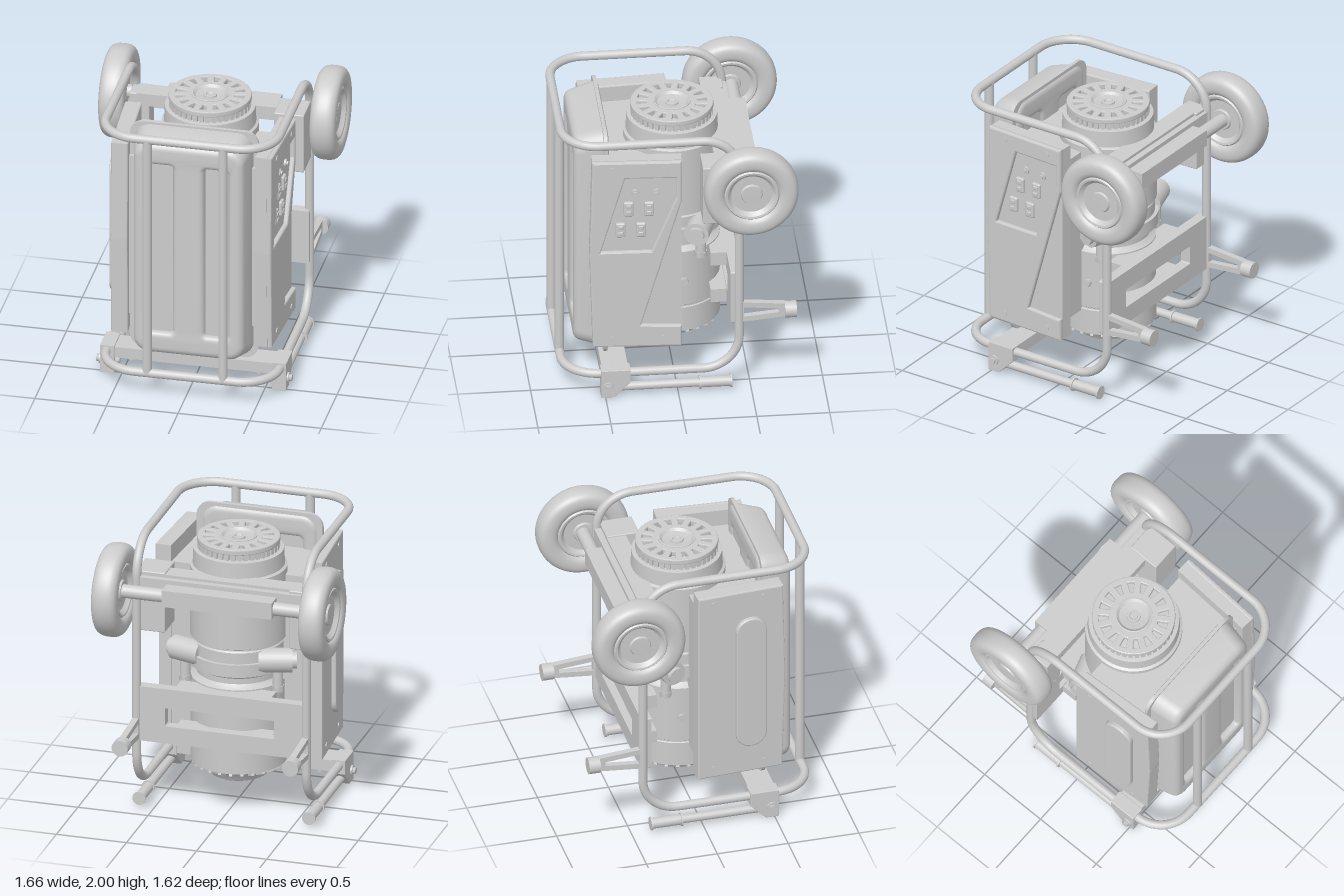
import * as THREE from 'three';
import { toCreasedNormals } from 'three/addons/utils/BufferGeometryUtils.js';
import { RoundedBoxGeometry } from 'three/addons/geometries/RoundedBoxGeometry.js';

const V = (x, y, z) => new THREE.Vector3(x, y, z);

export function createModel() {
  const root = new THREE.Group();
  const mat = new THREE.MeshStandardMaterial({ color: 0xcccccc, side: THREE.DoubleSide });
  let target = root; // group that receives new parts

  const add = (name, geo) => {
    const m = new THREE.Mesh(geo, mat);
    m.name = name;
    target.add(m);
    return m;
  };
  // box from its minimum and maximum corners
  const box = (name, x0, x1, y0, y1, z0, z1, r = 0) => {
    const s = [x1 - x0, y1 - y0, z1 - z0];
    const g = r ? new RoundedBoxGeometry(...s, 3, r) : new THREE.BoxGeometry(...s);
    return add(name, g.translate((x0 + x1) / 2, (y0 + y1) / 2, (z0 + z1) / 2));
  };
  // round bar between two points
  const rod = (name, a, b, r, sides = 28) => {
    const d = b.clone().sub(a);
    const m = add(name, new THREE.CylinderGeometry(r, r, d.length(), sides));
    m.position.copy(a).addScaledVector(d, 0.5);
    m.quaternion.setFromUnitVectors(V(0, 1, 0), d.normalize());
    return m;
  };
  const lathe = (name, pts, seg = 64) => add(name, toCreasedNormals(
    new THREE.LatheGeometry(pts.map(p => new THREE.Vector2(...p)), seg), 0.6));
  const roundRect = (T, x0, x1, y0, y1, r) => {
    const s = new T();
    s.absarc(x1 - r, y1 - r, r, 0, Math.PI / 2);
    s.absarc(x0 + r, y1 - r, r, Math.PI / 2, Math.PI);
    s.absarc(x0 + r, y0 + r, r, Math.PI, Math.PI * 1.5);
    s.absarc(x1 - r, y0 + r, r, Math.PI * 1.5, Math.PI * 2);
    s.closePath();
    return s;
  };
  // outline given as [z, y], extruded along x
  const side = (name, pts, x0, depth, holes = [], bevel = 0) => {
    const flip = a => a.map(([z, y]) => new THREE.Vector2(-z, y));
    const s = new THREE.Shape(flip(pts));
    s.holes = holes.map(h => new THREE.Path(flip(h)));
    const g = new THREE.ExtrudeGeometry(s, { depth: depth - 2 * bevel, bevelEnabled: bevel > 0,
      bevelSize: bevel, bevelOffset: -bevel, bevelThickness: bevel, bevelSegments: 2 });
    return add(name, g.rotateY(Math.PI / 2).translate(x0 + bevel, 0, 0));
  };

  // Tube frame: one closed loop with rounded corners
  const corners = [V(-.605, 1.97, .78), V(.605, 1.97, .78), V(.605, 1.97, -.42), V(.605, .17, -.42),
    V(.605, .17, .78), V(-.605, .17, .78), V(-.605, .17, -.42), V(-.605, 1.97, -.42)];
  const path = new THREE.CurvePath();
  const R = .25, K = .448 * R;
  let last = null, first = null;
  corners.forEach((c, i) => {
    const p = corners[(i + 7) % 8].clone().sub(c).normalize();
    const n = corners[(i + 1) % 8].clone().sub(c).normalize();
    const at = (d, l) => c.clone().addScaledVector(d, l);
    const start = at(p, R), end = at(n, R);
    if (last) path.add(new THREE.LineCurve3(last, start));
    else first = start;
    path.add(new THREE.CubicBezierCurve3(start, at(p, K), at(n, K), end));
    last = end;
  });
  path.add(new THREE.LineCurve3(last, first));
  add('tubeFrame', new THREE.TubeGeometry(path, 420, .031, 16, true));
  for (const x of [-.265, .265]) rod('frontBar', V(x, .17, .78), V(x, 1.97, .78), .032);

  // Fuel tank: tapered shell with two recessed channels, and its seam flange
  const tank = roundRect(THREE.Shape, -.4, .4, .24, 1.92, .1);
  for (const s of [-1, 1]) {
    const a = s * .105, b = s * .315;
    tank.holes.push(roundRect(THREE.Path, Math.min(a, b), Math.max(a, b), .385, 1.78, .04));
  }
  const tankGeo = new THREE.ExtrudeGeometry(tank, { depth: .16, bevelThickness: .04, bevelSize: .045,
    bevelOffset: -.03, bevelSegments: 5, curveSegments: 8 });
  const tp = tankGeo.attributes.position;
  for (let i = 0; i < tp.count; i++) {
    const t = Math.max(0, tp.getZ(i)) / .2;
    tp.setXY(i, tp.getX(i) * (1 - .09 * t), 1.08 + (tp.getY(i) - 1.08) * (1 - .065 * t));
  }
  add('fuelTank', toCreasedNormals(tankGeo.translate(0, 0, .49), .6));
  box('tankChannelFloor', -.34, .34, .36, 1.8, .5, .64);
  add('tankFlange', new THREE.ExtrudeGeometry(roundRect(THREE.Shape, -.45, .45, .21, 1.95, .1),
    { depth: .025, bevelEnabled: false }).translate(0, 0, .465));

  // Inner housing
  box('innerHousing', -.48, .48, .475, 1.69, -.02, .52);

  // Side covers, each toed in towards the front
  const cover = [[.585, 1.81], [.602, 1.08], [.58, .35], [-.025, .35], [-.025, 1.81]];
  for (const s of [-1, 1]) {
    target = new THREE.Group();
    target.name = s > 0 ? 'leftCoverAssembly' : 'rightCoverAssembly';
    target.rotation.y = -s * .06;
    target.position.z = -.036;
    root.add(target);
    for (const z of [.45, .09]) for (const y of [.42, 1.75])
      rod('coverScrew', V(s * .58, y, z), V(s * .602, y, z), .021, 20);
    if (s < 0) {
      side('rightCover', cover, -.597, .117, [], .01);
      const pad = new THREE.ExtrudeGeometry(roundRect(THREE.Shape, -.46, -.24, .57, 1.6, .105),
        { depth: .02, bevelSize: .012, bevelThickness: .012, bevelOffset: -.012 });
      add('rightCoverPad', pad.rotateY(Math.PI / 2).translate(-.618, 0, 0));
      continue;
    }
    side('leftCover', cover, .48, .085);
    side('leftCoverSkin', [[.585, 1.81], [.602, 1.08], [.58, .35], [-.025, .35], [-.025, .51], [.25, .52],
      [-.025, 1.49], [-.025, 1.81]], .559, .038, [[[.36, 1.68], [.01, 1.68], [.01, 1.53], [.18, 1.105], [.525, 1.1]]], .012);
    // Control panel: sockets and buttons
    for (const [z, y] of [[.335, 1.43], [.195, 1.43], [.39, 1.265], [.25, 1.265]]) {
      box('socket', .55, .585, y - .055, y + .055, z - .034, z + .034, .012);
      for (const d of [-.024, .024]) box('socketInsert', .57, .592, y + d - .014, y + d + .014, z - .018, z + .018, .006);
    }
    for (const z of [.29, .145]) {
      rod('buttonCollar', V(.55, 1.555, z), V(.58, 1.555, z), .028);
      rod('button', V(.57, 1.555, z), V(.592, 1.555, z), .015);
    }
  }
  target = root;

  // Engine and alternator, a turned body on an upright axis
  const CZ = -.018;
  lathe('engineBody', [[0, .225], [.06, .225], [.07, .2], [.18, .2], [.2, .21], [.225, .255], [.25, .28], [.31, .305],
    [.33, .31], [.33, .49], [.322, .495], [.322, .505], [.328, .51], [.328, .93], [.31, .94], [.29, .96], [.29, 1], [.32, 1.04],
    [.32, 1.2], [.312, 1.21], [.312, 1.22], [.333, 1.23], [.333, 1.735], [.315, 1.745], [.31, 1.86], [.28, 1.865],
    [0, 1.865]]).position.z = CZ;
  lathe('engineCollar', [[.3, 1.03], [.345, 1.03], [.345, 1.12], [.3, 1.12]]).position.z = CZ;
  for (let i = 0; i < 26; i++) {
    const fin = add('coolingFin', new THREE.BoxGeometry(.09, .022, .022));
    const a = i / 26 * Math.PI * 2;
    fin.rotation.set(0, -a, .4, 'YXZ');
    fin.position.set(Math.cos(a) * .28, .285, CZ + Math.sin(a) * .28);
  }

  // Starter cap: slotted disc, ribbed wall and dished boss
  const disc = new THREE.Shape().absarc(0, 0, .278, 0, Math.PI * 2);
  disc.holes.push(new THREE.Path().absarc(0, 0, .12, 0, Math.PI * 2));
  for (let i = 0; i < 16; i++) {
    const a = i / 16 * Math.PI * 2;
    const h = [[.165, -.015], [.245, -.03], [.245, .03], [.165, .015]].map(([r, t]) =>
      new THREE.Vector2(r * Math.cos(a) - t * Math.sin(a), r * Math.sin(a) + t * Math.cos(a)));
    disc.holes.push(new THREE.Path(h));
  }
  const discGeo = new THREE.ExtrudeGeometry(disc, { depth: .025, bevelSize: .006, bevelThickness: .008,
    bevelSegments: 2, curveSegments: 64 });
  add('starterCap', discGeo.rotateX(-Math.PI / 2).translate(0, 1.912, CZ));
  lathe('starterWall', [[.268, 1.85], [.268, 1.915]]).position.z = CZ;
  lathe('starterBoss', [[.13, 1.93], [.128, 1.95], [.118, 1.952], [.1, 1.935], [.047, 1.928], [.045, 1.94],
    [.03, 1.94], [.025, 1.93], [0, 1.93]]).position.z = CZ;
  for (let i = 0; i < 40; i++) {
    const a = i / 40 * Math.PI * 2;
    const rib = add('starterRib', new THREE.BoxGeometry(.025, .06, .028));
    rib.rotation.y = -a;
    rib.position.set(Math.cos(a) * .27, 1.89, CZ + Math.sin(a) * .27);
  }

  // Ports, drain pipes and side plugs on both flanks of the engine
  for (const s of [-1, 1]) {
    rod('enginePort', V(s * .2, 1.12, -.215), V(s * .42, 1.12, -.145), .085);
    rod('portCap', V(s * .4, 1.12, -.15), V(s * .45, 1.12, -.135), .058);
    rod('drainPipe', V(s * .33, .93, -.185), V(s * .33, 1.1, -.185), .036);
    rod('drainNut', V(s * .33, .9, -.185), V(s * .33, .94, -.185), .043, 6);
    rod('sidePlug', V(s * .28, .7, -.07), V(s * .345, .7, -.07), .03, 6);
  }

  // Wheels, axle and its carriers
  const tyre = [];
  for (let i = 0; i <= 32; i++) {
    const a = i / 32 * Math.PI * 2, c = Math.cos(a), n = Math.sin(a);
    tyre.push([.25 + .075 * Math.sign(c) * Math.abs(c) ** .75, .09 * Math.sign(n) * Math.abs(n) ** .75]);
  }
  const half = [[.19, .062], [.18, .075], [.165, .072], [.145, .048], [.14, .044], [.075, .044], [.068, .058], [0, .06]];
  const rim = [...half.map(([r, h]) => [r, -h]).reverse(), ...half];
  for (const s of [-1, 1]) {
    for (const [name, pts] of [['tyre', tyre], ['wheelRim', rim]]) {
      const m = lathe(name, pts, 72);
      m.rotation.z = -Math.PI / 2;
      m.position.set(s * .738, 1.637, -.487);
    }
  }
  rod('axle', V(-.74, 1.637, -.495), V(.74, 1.637, -.495), .047);
  box('axleCarrier', -.4, .385, 1.58, 1.7, -.56, -.44);
  box('axleCrossbar', -.575, .575, 1.58, 1.73, -.445, -.395);
  box('axleShelf', -.57, .57, 1.66, 1.75, -.4, -.265);
  box('leftAxleBracket', .41, .62, 1.32, 1.76, -.4, -.17, .008);
  box('rightAxleBracket', -.62, -.48, 1.32, 1.75, -.42, -.265, .008);

  // Rear mounting plate with a long window, and engine mounts
  const plate = roundRect(THREE.Shape, -.615, .615, .52, .92, .01);
  plate.holes.push(roundRect(THREE.Path, -.38, .4, .645, .78, .01));
  add('rearPlate', new THREE.ExtrudeGeometry(plate, { depth: .075, bevelEnabled: false }).translate(0, 0, -.435));
  for (const y of [.53, .82]) box('engineMount', -.34, .34, y, y + .1, -.36, -.25);

  // Rear feet: forked arms with round pads
  for (const s of [-1, 1]) {
    side('footArm', [[-.4, .69], [-.74, .66], [-.74, .56], [-.4, .53]], s * .605 - .022, .044,
      [[[-.45, .647], [-.69, .625], [-.69, .595], [-.45, .573]]]);
    rod('footPad', V(s * .607, .605, -.73), V(s * .607, .605, -.81), .058);
  }

  // Base beam, hinge brackets and carrying handles
  box('baseBeam', -.58, .58, .12, .2, .34, .52);
  for (const s of [-1, 1]) {
    rod('beamBolt', V(s * .445, .075, .43), V(s * .445, .12, .43), .03, 6);
    rod('beamWasher', V(s * .445, .1, .43), V(s * .445, .122, .43), .043);
    side('hingeBracket', [[.53, .21], [.33, .21], [.33, .11], [.44, 0], [.53, 0]], s * .6 - .05, .1, [], .004);
    rod('hingeWasher', V(s * .64, .085, .48), V(s * .663, .085, .48), .036);
    rod('hingeBolt', V(s * .52, .085, .48), V(s * .683, .085, .48), .024, 6);
    rod('handleBar', V(s * .605, .06, .45), V(s * .605, .06, -.36), .03);
    rod('handleGrip', V(s * .605, .06, -.15), V(s * .605, .06, -.365), .037);
    for (const z of [-.15, -.362]) rod('gripFlange', V(s * .605, .06, z + .006), V(s * .605, .06, z - .006), .047);
  }
  return root;
}
